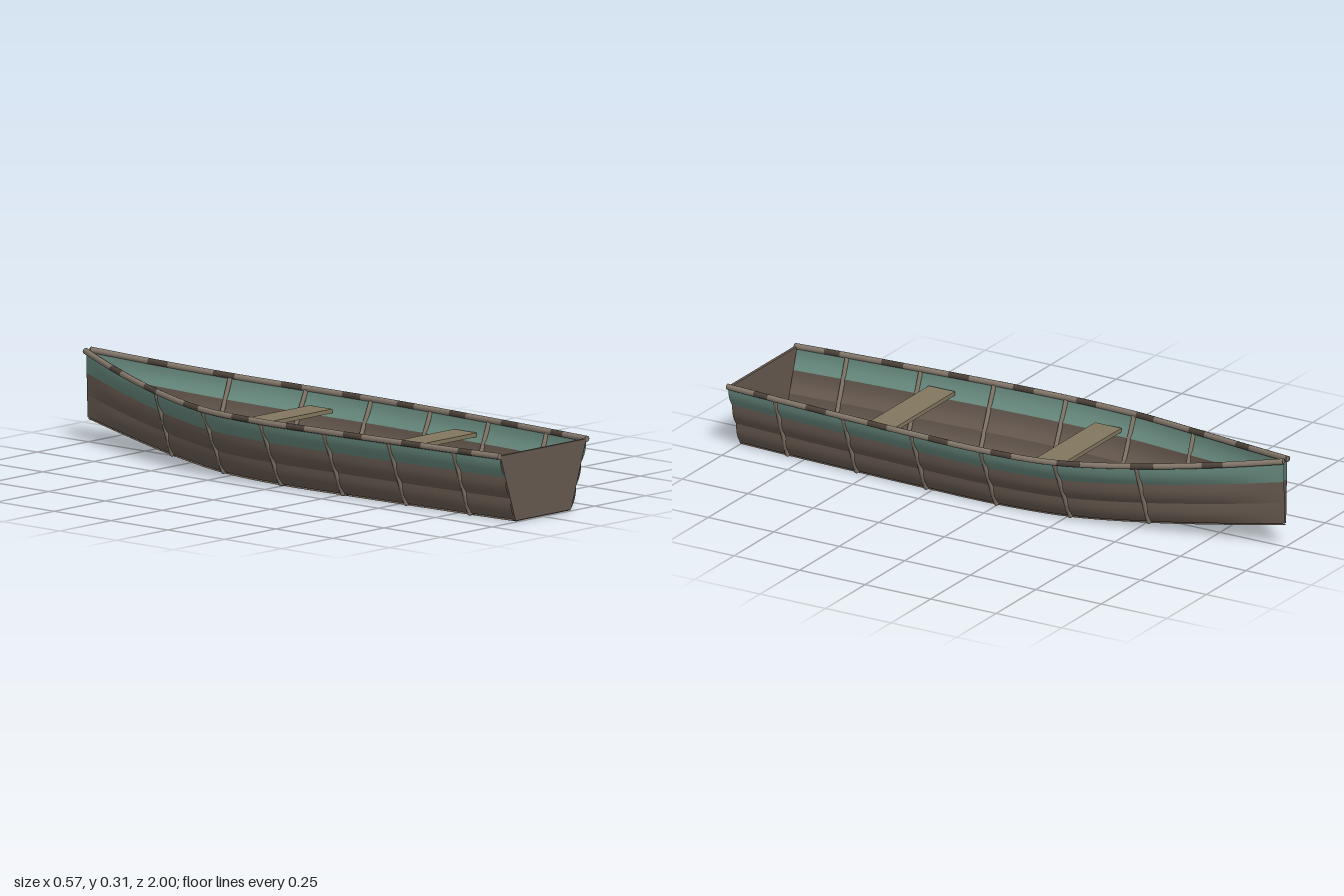
import * as THREE from 'three';

const material = (name, color) =>
  Object.assign(new THREE.MeshStandardMaterial({ color, side: THREE.DoubleSide }), { name });

// Knots along the hull, stern to bow: z, half width at the rail, half width at the floor.
const STATIONS = [
  [1, 0.21, 0.135], [0.81, 0.226, 0.146], [0.54, 0.245, 0.157], [0.27, 0.261, 0.166],
  [0, 0.27, 0.169], [-0.27, 0.252, 0.149], [-0.54, 0.181, 0.1], [-0.79, 0.094, 0.046], [-1, 0.011, 0.004],
];
const HEIGHT = 0.222;
const rise = (z) => 0.075 * Math.pow(Math.max(0, (-z - 0.1) / 0.9), 1.7);
const edgeCurve = (column, y) => new THREE.CatmullRomCurve3(
  STATIONS.map((s) => new THREE.Vector3(s[column], y + rise(s[0]), s[0])), false, 'catmullrom', 0.5);
const railCurve = edgeCurve(1, HEIGHT + 0.004);
const chineCurve = edgeCurve(2, 0.005);

// Point on the hull side: u runs stern to bow, v floor to rail.
const hullPoint = (u, v) => chineCurve.getPoint(u).lerp(railCurve.getPoint(u), v);

// Surface from a rule giving a point for each (u, v).
function loft(rule, nu, nv) {
  const positions = [], index = [];
  for (let i = 0; i <= nu; i++) {
    for (let j = 0; j <= nv; j++) positions.push(...rule(i / nu, j / nv).toArray());
  }
  for (let i = 0; i < nu; i++) {
    for (let j = 0; j < nv; j++) {
      const a = i * (nv + 1) + j, b = a + nv + 1;
      index.push(a, a + 1, b, b, a + 1, b + 1);
    }
  }
  const geometry = new THREE.BufferGeometry();
  geometry.setAttribute('position', new THREE.Float32BufferAttribute(positions, 3));
  geometry.setIndex(index);
  geometry.computeVertexNormals();
  return geometry;
}

export function createModel() {
  const boat = new THREE.Group();
  boat.name = 'rowingBoat';
  const brown = material('weatheredBrown', 0x66594f);
  const teal = material('fadedTeal', 0x67897d);
  const tan = material('paleWood', 0x83776a);
  const bench = material('benchWood', 0x82775f);
  const dark = material('darkWood', 0x4b4138);

  const add = (name, geometry, mat, parent = boat) => {
    const mesh = new THREE.Mesh(geometry, mat);
    mesh.name = name;
    parent.add(mesh);
    return mesh;
  };

  // Planked sides and rails
  for (const side of [1, -1]) {
    const label = side > 0 ? 'left' : 'right';
    for (let k = 0; k < 3; k++) {
      const plank = loft((u, v) => {
        const p = hullPoint(u, (k + v) / 3);
        const bulge = 0.007 * Math.sin(Math.PI * v) * Math.min(1, (1 - u) * 8);
        p.x = side * (p.x + bulge);
        p.y -= bulge * 0.4;
        return p;
      }, 48, 6);
      // Keep the faces outward on the planks of both sides
      if (side > 0) {
        plank.index.array.reverse();
        plank.computeVertexNormals();
      }
      add(`${label}Plank${k + 1}`, plank, k === 2 ? teal : brown);
    }

    // Rail in pale lengths with short dark patches between
    const rail = new THREE.Group();
    rail.name = `${label}Rail`;
    boat.add(rail);
    const count = 9;
    const railPoint = (u) => {
      const p = railCurve.getPoint(u);
      return new THREE.Vector3(side * (p.x + 0.003), p.y, p.z);
    };
    const railPiece = (name, from, to, mat) => {
      const points = Array.from({ length: 6 }, (_, i) => railPoint(from + (to - from) * i / 5));
      add(name, new THREE.TubeGeometry(new THREE.CatmullRomCurve3(points), 6, 0.0105, 8), mat, rail);
    };
    for (let i = 0; i < count; i++) {
      railPiece('railLength', i / count, (i + 0.68) / count, tan);
      railPiece('railPatch', (i + 0.68) / count, (i + 1) / count, i === count - 1 ? tan : dark);
    }
    for (const u of [0, 1]) {
      add('railEnd', new THREE.CircleGeometry(0.0105, 8), tan, rail).position.copy(railPoint(u));
    }
  }

  // Floor with a thin edge: upper and lower skins
  for (const [name, y] of [['floor', 0.004], ['hullBottom', -0.003]]) {
    const skin = loft((u, v) => {
      const p = chineCurve.getPoint(u);
      return new THREE.Vector3(p.x * (1 - 2 * v), p.y + y - 0.002, p.z);
    }, 48, 4);
    if (y < 0) {
      skin.index.array.reverse();
      skin.computeVertexNormals();
    }
    add(name, skin, brown);
  }

  // Stern board
  const board = new THREE.Shape([[-0.135, 0.002], [0.135, 0.002], [0.21, 0.227], [-0.21, 0.227]]
    .map(([x, y]) => new THREE.Vector2(x, y)));
  add('sternBoard', new THREE.ExtrudeGeometry(board, { depth: 0.01, bevelEnabled: false }), brown)
    .position.z = 0.99;

  // Ribs wrapping the sides and the floor
  for (let i = 1; i <= 6; i++) {
    const u = i / 8;
    const top = hullPoint(u, 0.98), low = hullPoint(u, 0);
    top.x += 0.003;
    low.x += 0.003;
    const flip = (p) => new THREE.Vector3(-p.x, p.y, p.z);
    const path = new THREE.CurvePath();
    path.add(new THREE.LineCurve3(top, low));
    path.add(new THREE.LineCurve3(low, flip(low)));
    path.add(new THREE.LineCurve3(flip(low), flip(top)));
    const rib = new THREE.Group();
    rib.name = `rib${i}`;
    boat.add(rib);
    for (const line of path.curves) {
      add('ribBar', new THREE.TubeGeometry(line, 1, 0.0075, 8), tan, rib);
    }
    for (const corner of [low, flip(low)]) {
      add('ribCorner', new THREE.SphereGeometry(0.0075, 8, 6), tan, rib).position.copy(corner);
    }
  }

  // Benches
  for (const [name, z] of [['rearBench', 0.45], ['frontBench', -0.185]]) {
    add(name, new THREE.BoxGeometry(0.46, 0.014, 0.1), bench).position.set(0, 0.175, z);
  }

  // Settle the hull on the ground
  const box = new THREE.Box3().setFromObject(boat);
  boat.children.forEach((part) => { part.position.y -= box.min.y; });
  return boat;
}
